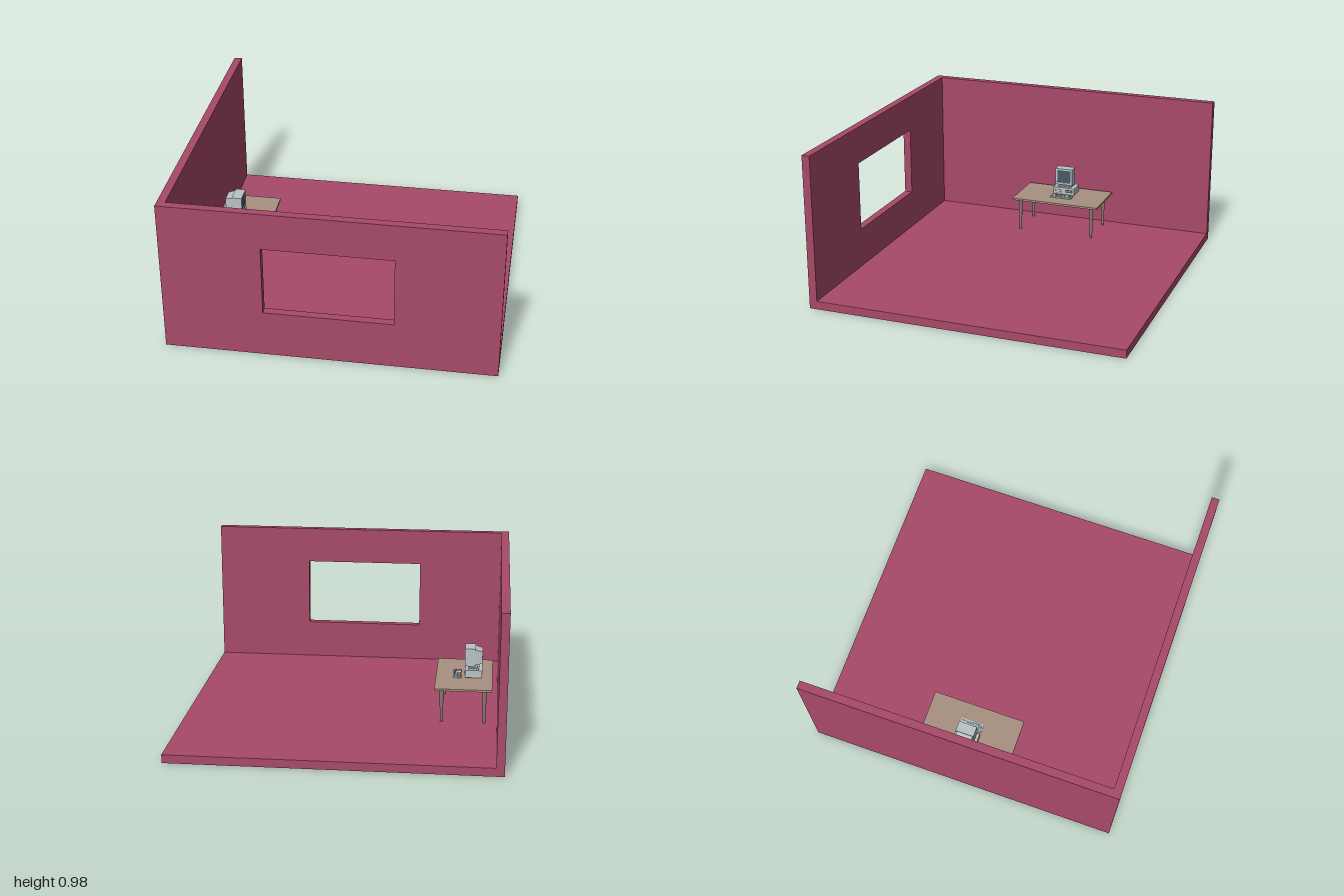
import * as THREE from 'three';

const mat = (color) => new THREE.MeshStandardMaterial({ color, flatShading: true });
const WALL = mat(0xa84a6a), WOOD = mat(0xa89080), LEG = mat(0x8a7a70);
const CASE = mat(0xb9c4c6), SCREEN = mat(0x465a66), DARK = mat(0x4a5456);

// Box given by its min and max corners
function box(parent, name, material, [x0, x1], [y0, y1], [z0, z1]) {
  const mesh = new THREE.Mesh(new THREE.BoxGeometry(x1 - x0, y1 - y0, z1 - z0), material);
  mesh.position.set((x0 + x1) / 2, (y0 + y1) / 2, (z0 + z1) / 2);
  mesh.name = name;
  parent.add(mesh);
  return mesh;
}

function rectangle(PathType, x0, x1, y0, y1) {
  const p = new PathType();
  p.moveTo(x0, y0);
  p.lineTo(x1, y0);
  p.lineTo(x1, y1);
  p.lineTo(x0, y1);
  p.closePath();
  return p;
}

function group(parent, name) {
  const g = new THREE.Group();
  g.name = name;
  parent.add(g);
  return g;
}

function buildRoom(parent) {
  const room = group(parent, 'room');
  box(room, 'floor', WALL, [-0.95, 1], [0, 0.052], [-1, 0.95]);
  box(room, 'sideWall', WALL, [-1, -0.95], [0, 0.975], [-1, 0.95]);
  // Front wall with the window opening
  const shape = rectangle(THREE.Shape, -1, 1, 0, 0.975);
  shape.holes.push(rectangle(THREE.Path, -0.395, 0.38, 0.3, 0.742));
  const front = new THREE.Mesh(
    new THREE.ExtrudeGeometry(shape, { depth: 0.05, bevelEnabled: false }), WALL);
  front.position.z = 0.95;
  front.name = 'windowWall';
  room.add(front);
}

function buildTable(parent) {
  const table = group(parent, 'table');
  box(table, 'tableTop', WOOD, [-0.915, -0.56], [0.27, 0.283], [-0.33, 0.272]);
  // Tapered round legs
  for (const x of [-0.87, -0.605]) {
    for (const z of [-0.28, 0.228]) {
      const leg = new THREE.Mesh(new THREE.CylinderGeometry(0.013, 0.008, 0.218, 12), LEG);
      leg.position.set(x, 0.161, z);
      leg.name = 'tableLeg';
      table.add(leg);
    }
  }
}

function buildComputer(parent) {
  const computer = group(parent, 'computer');
  const zMid = -0.036;
  const span = (w) => [zMid - w / 2, zMid + w / 2];

  // Desktop case with drive bays and grooves
  box(computer, 'case', CASE, [-0.85, -0.742], [0.287, 0.335], span(0.15));
  box(computer, 'driveBay', DARK, [-0.743, -0.74], [0.302, 0.322], [-0.1, -0.045]);
  box(computer, 'driveSlot', CASE, [-0.741, -0.738], [0.31, 0.314], [-0.095, -0.05]);
  for (let i = 0; i < 3; i++) {
    const y = 0.296 + i * 0.01;
    box(computer, 'vent', DARK, [-0.743, -0.741], [y, y + 0.002], [-0.02, 0.03]);
  }
  for (const x of [-0.84, -0.76]) {
    for (const z of [zMid - 0.06, zMid + 0.06]) {
      box(computer, 'foot', DARK, [x - 0.006, x + 0.006], [0.283, 0.287], [z - 0.006, z + 0.006]);
    }
  }

  // Swivel stand
  box(computer, 'standFoot', CASE, [-0.83, -0.76], [0.335, 0.343], span(0.095));
  box(computer, 'standNeck', CASE, [-0.82, -0.77], [0.343, 0.358], span(0.07));

  // Monitor: framed front, tapering rear shell
  const bezel = rectangle(THREE.Shape, -0.059, 0.059, 0.357, 0.47);
  bezel.holes.push(rectangle(THREE.Path, -0.047, 0.047, 0.372, 0.459));
  const frame = new THREE.Mesh(
    new THREE.ExtrudeGeometry(bezel, { depth: 0.012, bevelEnabled: false }), CASE);
  frame.rotation.y = Math.PI / 2;
  frame.position.set(-0.752, 0, zMid);
  frame.name = 'monitorFrame';
  computer.add(frame);
  box(computer, 'screen', SCREEN, [-0.75, -0.745], [0.37, 0.461], span(0.098));
  box(computer, 'monitorBody', CASE, [-0.805, -0.75], [0.357, 0.47], span(0.118));
  const rear = box(computer, 'monitorRear', CASE, [-0.85, -0.805], [0.362, 0.462], span(0.108));
  const p = rear.geometry.attributes.position;
  for (let i = 0; i < p.count; i++) {
    if (p.getX(i) < 0) p.setXYZ(i, p.getX(i), p.getY(i) * 0.78, p.getZ(i) * 0.8);
  }
  rear.geometry.computeVertexNormals();

  // Keyboard with rows of keys
  const keyboard = group(computer, 'keyboard');
  box(keyboard, 'keyboardBase', CASE, [-0.722, -0.668], [0.283, 0.29], span(0.148));
  for (let row = 0; row < 5; row++) {
    const x = -0.717 + row * 0.0093;
    for (let col = 0; col < 14; col++) {
      const z = zMid - 0.069 + col * 0.01;
      box(keyboard, 'key', CASE, [x, x + 0.007], [0.29, 0.294], [z, z + 0.008]);
    }
  }
}

export function createModel() {
  const model = new THREE.Group();
  model.name = 'roomWithDesk';
  buildRoom(model);
  buildTable(model);
  buildComputer(model);
  return model;
}
